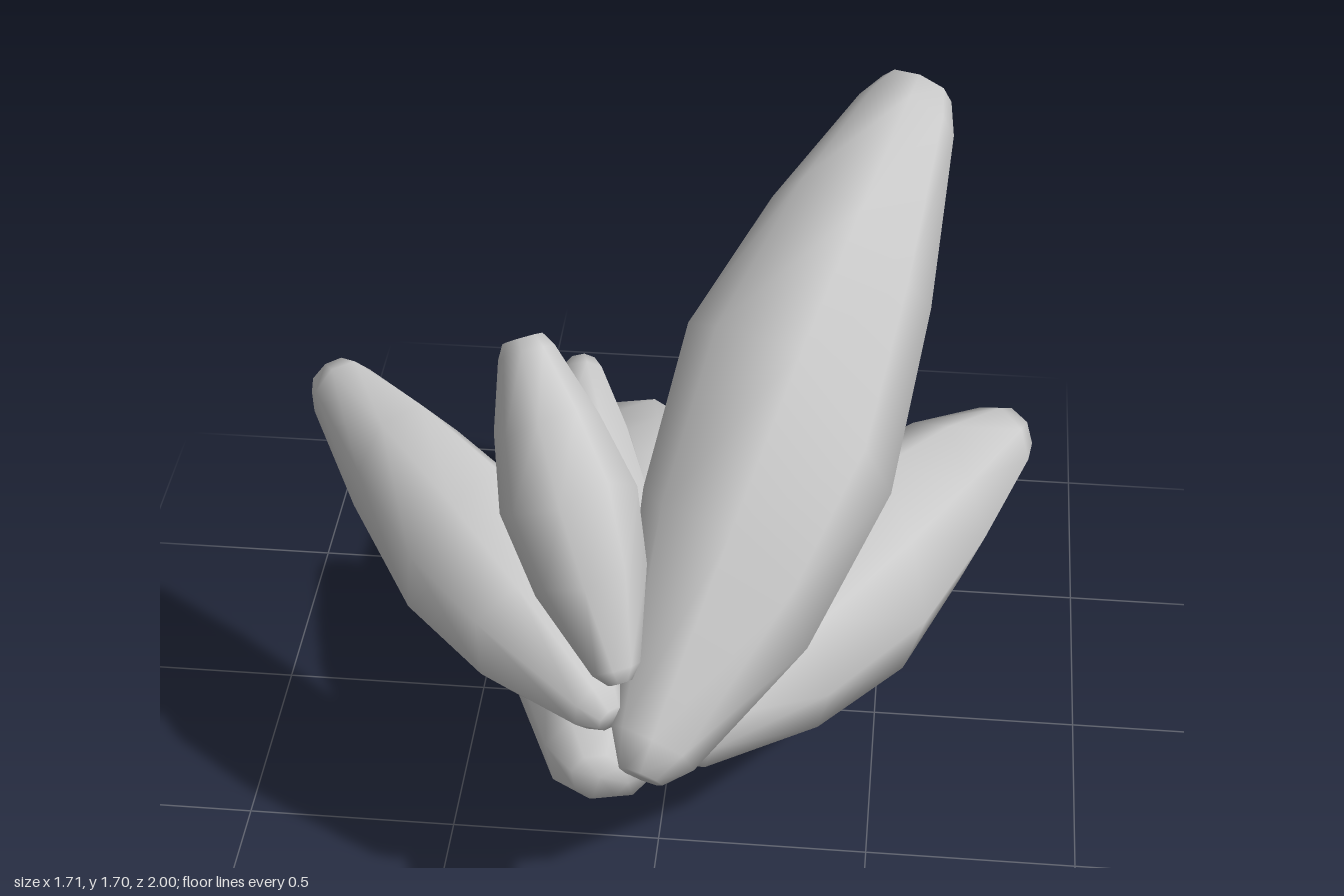
import * as THREE from 'three';

const SIDES = 8;

// peak: where the crystal is widest along its length
// lean: tilt of the middle rings sideways and upright; bow: upright bend of the axis
const CRYSTALS = [
  { name: 'largeCrystal', base: [0.01, 0.635, 0.96], tip: [0.52, 1.625, -0.33],
    radii: [0.28, 0.295], twist: 0.3, peak: 0.52, lean: [0.05, 0.03], bow: 0 },
  { name: 'lowerCrystal', base: [-0.09, 0.55, 0.88], tip: [-0.19, 0.11, -0.98],
    radii: [0.36, 0.315], twist: 0.23, peak: 0.55, lean: [0.02, -0.04], bow: 0.035 },
  { name: 'leftCrystal', base: [0.06, 0.59, 0.81], tip: [0.8, 0.565, -0.45],
    radii: [0.225, 0.27], twist: 0, peak: 0.54, lean: [0.06, 0.02], bow: 0 },
  { name: 'rightCrystal', base: [-0.06, 0.735, 0.89], tip: [-0.81, 1.005, 0.07],
    radii: [0.19, 0.205], twist: 0.4, peak: 0.46, lean: [0, 0.04], bow: 0 },
  { name: 'smallInnerCrystal', base: [-0.06, 0.68, 0.72], tip: [-0.24, 0.975, -0.08],
    radii: [0.13, 0.145], twist: 0.2, peak: 0.54, lean: [0, 0], bow: 0 },
  { name: 'smallUpperCrystal', base: [-0.04, 0.84, 0.89], tip: [-0.29, 1.43, 0.47],
    radii: [0.15, 0.165], twist: 0.3, peak: 0.53, lean: [0, 0], bow: 0 },
];

// Loft leaning rings along the axis from base to tip
function crystalGeometry({ base, tip, radii: [ru, rv], twist, peak, lean, bow }) {
  const a = new THREE.Vector3(...base);
  const axis = new THREE.Vector3(...tip).sub(a);
  // u, v, axis form a right-handed frame
  const u = new THREE.Vector3(0, 1, 0).cross(axis).normalize();
  const v = new THREE.Vector3().crossVectors(axis, u).normalize();
  // [fraction along length, fraction of full radius, share of lean]
  const profile = [
    [0, 0.18, 0], [0.04, 0.36, 0.1], [peak * 0.56, 0.83, 0.8], [peak, 1, 1],
    [peak + (1 - peak) * 0.48, 0.76, 0.8], [0.96, 0.42, 0.1], [1, 0.3, 0],
  ];
  const pos = [], index = [];
  const push = (t, x, y) => {
    const p = a.clone().addScaledVector(axis, t).addScaledVector(u, x).addScaledVector(v, y);
    pos.push(p.x, p.y, p.z);
  };
  profile.forEach(([t, r, share], ring) => {
    const lift = bow * Math.sin(Math.PI * t);
    for (let i = 0; i < SIDES; i++) {
      const ang = twist + (i / SIDES) * Math.PI * 2;
      const c = Math.cos(ang), s = Math.sin(ang);
      const shift = share * (lean[0] * c + lean[1] * s + 0.02 * Math.sin(i * 2.4 + ring));
      push(t + shift, c * ru * r, s * rv * r + lift);
    }
  });
  for (let k = 0; k < profile.length - 1; k++) {
    for (let i = 0; i < SIDES; i++) {
      const p = k * SIDES + i, q = k * SIDES + (i + 1) % SIDES;
      index.push(p, q, q + SIDES, p, q + SIDES, p + SIDES);
    }
  }
  // End caps
  const last = (profile.length - 1) * SIDES;
  const centre = pos.length / 3;
  push(0, 0, 0);
  push(1, 0, 0);
  for (let i = 0; i < SIDES; i++) {
    const j = (i + 1) % SIDES;
    index.push(centre, j, i, centre + 1, last + i, last + j);
  }
  const geo = new THREE.BufferGeometry();
  geo.setAttribute('position', new THREE.Float32BufferAttribute(pos, 3));
  geo.setIndex(index);
  geo.computeVertexNormals();
  return geo;
}

export function createModel() {
  const group = new THREE.Group();
  group.name = 'crystalCluster';
  const material = new THREE.MeshStandardMaterial({ color: 0xcccccc });
  for (const crystal of CRYSTALS) {
    const mesh = new THREE.Mesh(crystalGeometry(crystal), material);
    mesh.name = crystal.name;
    group.add(mesh);
  }
  return group;
}
